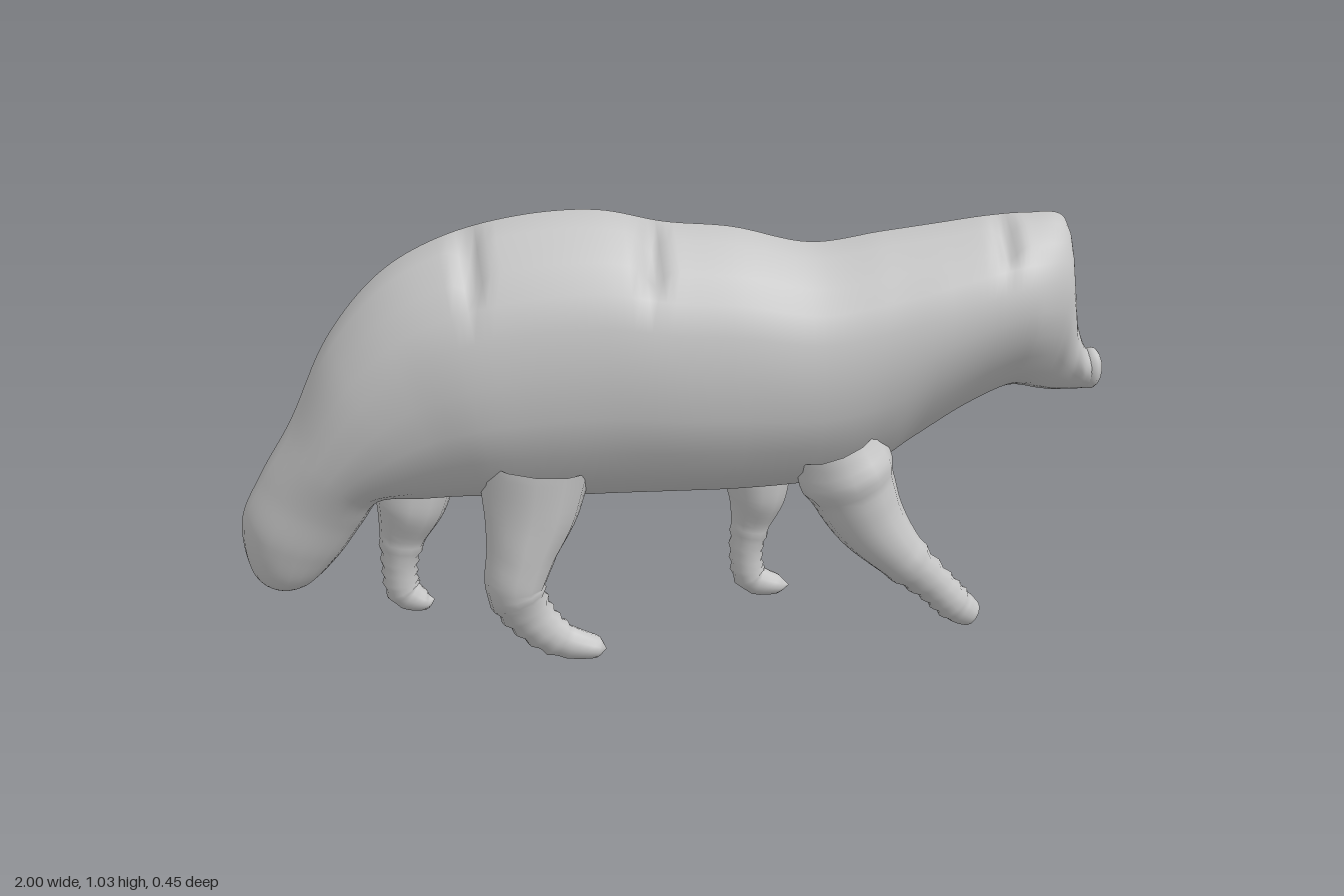
import * as THREE from 'three';

const coat = new THREE.MeshStandardMaterial({ color: 0xc6c6c6, side: THREE.DoubleSide });
coat.name = 'coat grey';

// Skin a list of closed rings of points with smooth normals
function loft(rings) {
  const n = rings[0].length, index = [];
  for (let i = 0; i < rings.length - 1; i++) {
    for (let j = 0; j < n; j++) {
      const a = i * n + j, b = i * n + (j + 1) % n;
      index.push(a, b, a + n, b, b + n, a + n);
    }
  }
  const g = new THREE.BufferGeometry().setFromPoints(rings.flat());
  g.setIndex(index);
  g.computeVertexNormals();
  return g;
}

// Cross-section: depth from the back ridge, trunk width, head width
const section = [
  [0, 0, 0], [0.04, 0.28, 0.3], [0.13, 0.6, 0.6], [0.22, 0.8, 0.8], [0.32, 0.93, 0.95], [0.47, 1, 1],
  [0.62, 1, 0.9], [0.75, 0.93, 0.7], [0.87, 0.7, 0.45], [0.96, 0.35, 0.22], [1, 0, 0],
];

// Stations from tail tip to nose: top x, y, bottom x, y, half width, head blend
const stations = [
  [-0.93, 0.15, -0.92, 0.147, 0, 0.5],
  [-0.985, 0.2, -0.86, 0.165, 0.06, 0.5],
  [-1, 0.33, -0.79, 0.23, 0.1, 0.5],
  [-0.95, 0.44, -0.73, 0.31, 0.12, 0.5],
  [-0.875, 0.565, -0.68, 0.37, 0.15, 0.4],
  [-0.78, 0.76, -0.58, 0.37, 0.18, 0.3],
  [-0.66, 0.9, -0.48, 0.37, 0.2, 0.2],
  [-0.53, 0.975, -0.4, 0.365, 0.216, 0.2],
  [-0.36, 1.02, -0.3, 0.36, 0.22, 0.2],
  [-0.18, 1.03, -0.15, 0.36, 0.22, 0.2],
  [-0.03, 1.0, 0, 0.36, 0.22, 0.2],
  [0.12, 0.985, 0.13, 0.36, 0.217, 0.2],
  [0.3, 0.945, 0.3, 0.37, 0.212, 0.3],
  [0.46, 0.965, 0.44, 0.4, 0.205, 0.6],
  [0.58, 0.98, 0.55, 0.47, 0.2, 0.9],
  [0.7, 0.995, 0.68, 0.55, 0.188, 1],
  [0.79, 1.0, 0.78, 0.59, 0.168, 1],
  [0.88, 0.99, 0.85, 0.58, 0.12, 1],
  [0.905, 0.89, 0.885, 0.575, 0.09, 1],
  [0.925, 0.76, 0.92, 0.575, 0.055, 1],
  [0.955, 0.68, 0.95, 0.575, 0.042, 0.8],
  [0.985, 0.65, 0.98, 0.59, 0.03, 0.5],
  [0.995, 0.62, 0.995, 0.62, 0, 0.5],
];

function bodyGeometry() {
  const tops = new THREE.CatmullRomCurve3(stations.map((s) => new THREE.Vector3(s[0], s[1], s[4])));
  const bottoms = new THREE.CatmullRomCurve3(stations.map((s) => new THREE.Vector3(s[2], s[3], s[5])));
  const bump = (v, at, width) => Math.exp(-(((v - at) / width) ** 2));
  const rings = [], count = 176;
  for (let i = 0; i <= count; i++) {
    const a = tops.getPoint(i / count), b = bottoms.getPoint(i / count);
    const w = Math.max(0, a.z);
    // Shallow notches across the back and two eye hollows
    const notch = [-0.47, -0.07, 0.73].reduce((sum, x) => sum + 0.06 * bump(a.x, x, 0.022), 0);
    const eye = a.x > 0.87 ? 0.025 * bump(a.y, 0.885, 0.025) : 0;
    const half = section.map(([t, trunk, head], k) => {
      const dented = k === 1 || k === 2;
      const d = t + (dented ? notch : 0);
      const x = THREE.MathUtils.lerp(a.x, b.x, d) - (dented ? eye : 0);
      const y = THREE.MathUtils.lerp(a.y, b.y, d);
      return new THREE.Vector3(x, y, w * THREE.MathUtils.lerp(trunk, head, b.z));
    });
    const mirrored = half.slice(1, -1).reverse().map((p) => new THREE.Vector3(p.x, p.y, -p.z));
    rings.push([...half, ...mirrored]);
  }
  return loft(rings);
}

// Leg swept along x, y, radius, z, z radius
function legGeometry(points) {
  const path = new THREE.CatmullRomCurve3(points.map((p) => new THREE.Vector3(p[0], p[1], p[3])));
  const size = new THREE.CatmullRomCurve3(points.map((p) => new THREE.Vector3(p[2], p[4], 0)));
  const rings = [], count = 36, sides = 12;
  for (let i = 0; i <= count; i++) {
    const u = i / count, c = path.getPoint(u), t = path.getTangent(u), r = size.getPoint(u);
    const len = Math.hypot(t.x, t.y);
    // Slight fur ridges around the shin
    const ridge = u > 0.45 && u < 0.75 ? 1 + 0.07 * (i % 2 ? 1 : -1) : 1;
    const rx = Math.max(0, r.x) * ridge, rz = Math.max(0, r.y) * ridge;
    rings.push(Array.from({ length: sides }, (_, j) => {
      const q = (j / sides) * Math.PI * 2;
      return new THREE.Vector3(
        c.x - (t.y / len) * rx * Math.cos(q), c.y + (t.x / len) * rx * Math.cos(q), c.z + rz * Math.sin(q));
    }));
  }
  return loft(rings);
}

const legs = {
  frontLeftLeg: [
    [0.35, 0.5, 0.1, 0.1, 0.1], [0.39, 0.4, 0.1, 0.11, 0.1], [0.43, 0.32, 0.085, 0.125, 0.08],
    [0.5, 0.235, 0.062, 0.135, 0.065], [0.59, 0.15, 0.045, 0.135, 0.042], [0.645, 0.095, 0.043, 0.135, 0.04],
    [0.685, 0.068, 0.03, 0.135, 0.032], [0.695, 0.062, 0, 0.135, 0],
  ],
  backLeftLeg: [
    [-0.33, 0.48, 0.13, 0.09, 0.11], [-0.345, 0.37, 0.11, 0.1, 0.1], [-0.37, 0.27, 0.08, 0.12, 0.085],
    [-0.385, 0.19, 0.068, 0.135, 0.07], [-0.35, 0.115, 0.055, 0.135, 0.042], [-0.285, 0.055, 0.043, 0.135, 0.038],
    [-0.2, 0.03, 0.024, 0.135, 0.032], [-0.18, 0.025, 0, 0.135, 0],
  ],
  frontRightLeg: [
    [0.21, 0.47, 0.07, -0.135, 0.04], [0.21, 0.37, 0.088, -0.135, 0.084], [0.21, 0.29, 0.073, -0.135, 0.08],
    [0.195, 0.21, 0.048, -0.135, 0.05], [0.185, 0.13, 0.04, -0.135, 0.04], [0.2, 0.065, 0.04, -0.135, 0.038],
    [0.265, 0.042, 0.024, -0.135, 0.03], [0.295, 0.038, 0, -0.135, 0],
  ],
  backRightLeg: [
    [-0.6, 0.5, 0.08, -0.135, 0.06], [-0.61, 0.39, 0.1, -0.14, 0.085], [-0.625, 0.3, 0.085, -0.135, 0.082],
    [-0.65, 0.21, 0.054, -0.135, 0.05], [-0.66, 0.13, 0.042, -0.135, 0.04], [-0.65, 0.07, 0.042, -0.135, 0.038],
    [-0.6, 0.042, 0.022, -0.135, 0.03], [-0.58, 0.045, 0, -0.135, 0],
  ],
};

export function createModel() {
  const group = new THREE.Group();
  group.name = 'animal';
  const add = (name, geometry) => {
    const mesh = new THREE.Mesh(geometry, coat);
    mesh.name = name;
    group.add(mesh);
    return mesh;
  };

  add('bodyHeadAndTail', bodyGeometry());
  for (const [name, points] of Object.entries(legs)) add(name, legGeometry(points));

  // Rounded nose tip
  const nose = add('nose', new THREE.SphereGeometry(1, 10, 8));
  nose.scale.set(0.027, 0.05, 0.04);
  nose.position.set(0.973, 0.625, 0);
  return group;
}
